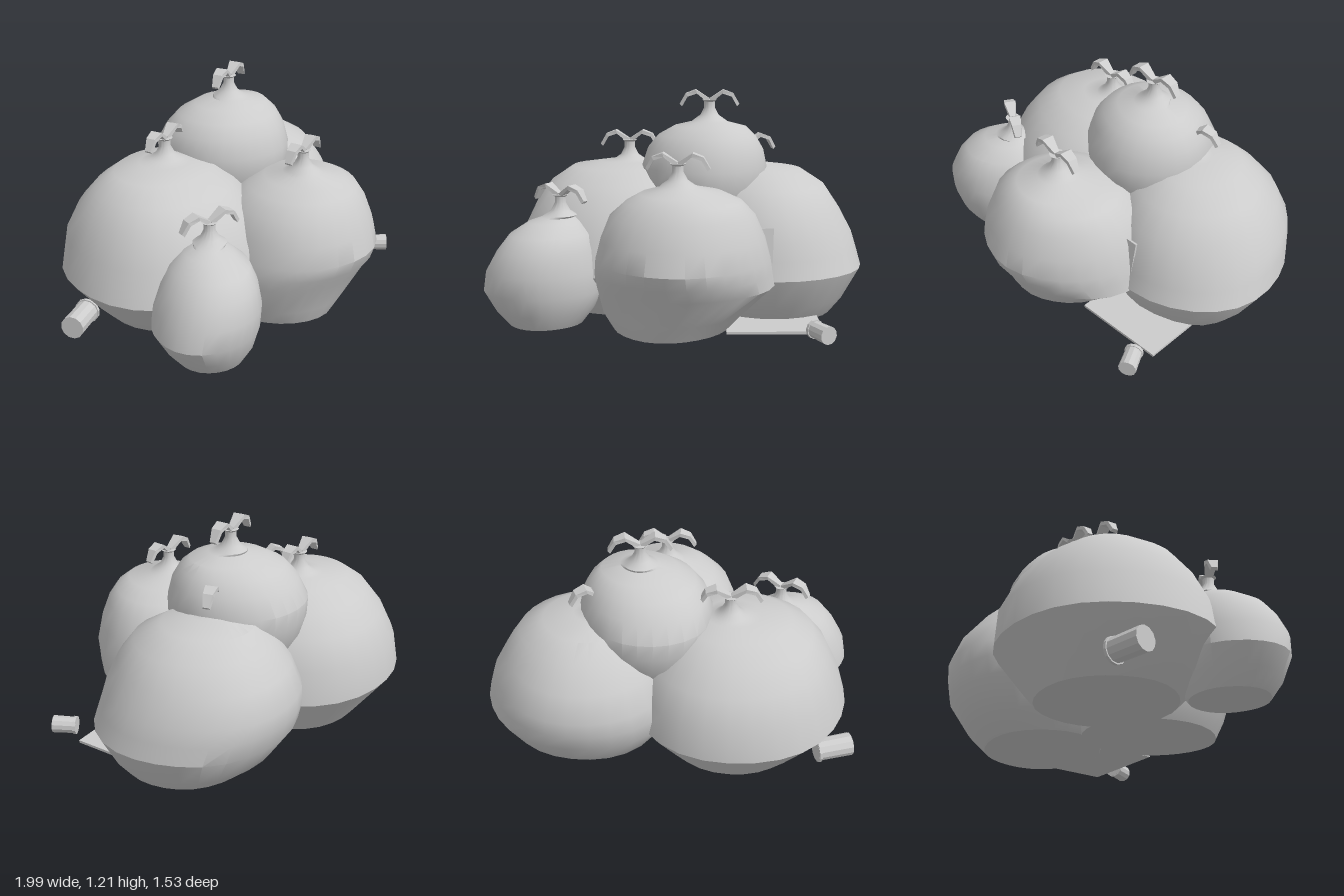
import * as THREE from 'three';
import { toCreasedNormals } from 'three/addons/utils/BufferGeometryUtils.js';

const cloth = new THREE.MeshStandardMaterial({ color: 0xcccccc });
cloth.name = 'pale grey';

function add(group, name, geometry) {
  const mesh = new THREE.Mesh(geometry, cloth);
  mesh.name = name;
  group.add(mesh);
  return mesh;
}

// Closed skin over stacked oval rings, each [y, xMin, xMax, zMin, zMax];
// skew stretches the rings along the x = z diagonal
function loft(rings, skew, sides = 28) {
  const pos = [], index = [];
  rings.forEach(([y, x0, x1, z0, z1], j) => {
    const body = j < rings.length - 5;
    for (let i = 0; i < sides; i++) {
      const a = (i / sides) * Math.PI * 2;
      const k = body ? 1 + 0.008 * Math.sin(a * 5 + j * 0.3) + skew * Math.sin(2 * a) : 1;
      pos.push((x0 + x1) / 2 + Math.cos(a) * k * (x1 - x0) / 2, y,
        (z0 + z1) / 2 + Math.sin(a) * k * (z1 - z0) / 2);
    }
  });
  for (let j = 0; j < rings.length - 1; j++) {
    for (let i = 0; i < sides; i++) {
      const a = j * sides + i, b = j * sides + (i + 1) % sides;
      index.push(a, a + sides, b, b, a + sides, b + sides);
    }
  }
  // flat caps
  for (const j of [0, rings.length - 1]) {
    const [y, x0, x1, z0, z1] = rings[j], c = pos.length / 3, s = j * sides;
    pos.push((x0 + x1) / 2, y, (z0 + z1) / 2);
    for (let i = 0; i < sides; i++) {
      const a = s + i, b = s + (i + 1) % sides;
      if (j === 0) index.push(c, a, b); else index.push(c, b, a);
    }
  }
  const g = new THREE.BufferGeometry();
  g.setAttribute('position', new THREE.Float32BufferAttribute(pos, 3));
  g.setIndex(index);
  return toCreasedNormals(g, 0.55);
}

// One bent leaf of the tie, running outward along +x
function leafGeometry() {
  const s = new THREE.Shape();
  s.moveTo(0.01, -0.005);
  [[0.07, 0.045], [0.12, 0.028], [0.15, -0.025], [0.163, -0.012], [0.13, 0.045], [0.075, 0.066], [0.0, 0.018]]
    .forEach(([x, y]) => s.lineTo(x, y));
  const g = new THREE.ExtrudeGeometry(s, { depth: 1, bevelEnabled: false });
  const p = g.attributes.position;
  // narrow at the knot and the tip, broad in the middle
  for (let i = 0; i < p.count; i++) {
    const w = 0.03 + 0.035 * Math.sin(Math.min(p.getX(i) / 0.165, 1) * Math.PI);
    p.setZ(i, (p.getZ(i) - 0.5) * w);
  }
  g.computeVertexNormals();
  return g;
}

// Sack: body rings, then a pinched neck at [x, z] and a two-leaf tie
function sack(name, body, [nx, nz], top, tieTurn, skew) {
  const group = new THREE.Group();
  group.name = name;
  const neck = [[-0.085, 0.085], [-0.06, 0.05], [-0.02, 0.029], [0.012, 0.029], [0.022, 0.04]]
    .map(([dy, r]) => [top + dy, nx - r, nx + r, nz - r, nz + r]);
  add(group, 'sackBody', loft([...body, ...neck], skew));
  for (const side of [0, Math.PI]) {
    const leaf = add(group, 'tieLeaf', leafGeometry());
    leaf.position.set(nx, top + 0.012, nz);
    leaf.rotation.y = tieTurn + side;
  }
  return group;
}

// Coin roll: tapered cylinder with a rim at its start
function roll(name, from, to, r0, r1) {
  const group = new THREE.Group();
  group.name = name;
  const a = new THREE.Vector3(...from), b = new THREE.Vector3(...to);
  const len = a.distanceTo(b);
  add(group, 'rollBody', toCreasedNormals(new THREE.CylinderGeometry(r1, r0, len, 12), 0.3));
  const rim = add(group, 'rollRim', toCreasedNormals(new THREE.CylinderGeometry(r0 * 1.12, r0 * 1.12, 0.015, 12), 0.3));
  rim.position.y = -len / 2 + 0.008;
  group.position.copy(a).add(b).multiplyScalar(0.5);
  group.quaternion.setFromUnitVectors(new THREE.Vector3(0, 1, 0), b.sub(a).normalize());
  return group;
}

export function createModel() {
  const model = new THREE.Group();
  model.name = 'sackPile';

  model.add(sack('frontSack', [
    [0.01, -0.26, 0.35, -0.14, 0.58],
    [0.1, -0.31, 0.43, -0.16, 0.625],
    [0.25, -0.34, 0.58, -0.18, 0.69],
    [0.32, -0.34, 0.57, -0.18, 0.74],
    [0.39, -0.33, 0.56, -0.17, 0.765],
    [0.5, -0.30, 0.53, -0.12, 0.74],
    [0.62, -0.25, 0.48, -0.04, 0.69],
    [0.69, -0.17, 0.42, 0.05, 0.64],
    [0.735, -0.09, 0.33, 0.14, 0.585],
    [0.76, 0.0, 0.21, 0.25, 0.47],
  ], [0.1, 0.365], 0.86, 0.1, -0.025));

  model.add(sack('smallSack', [
    [0.01, -0.81, -0.43, 0.13, 0.51],
    [0.09, -0.88, -0.37, 0.08, 0.56],
    [0.19, -0.94, -0.33, 0.04, 0.59],
    [0.3, -0.92, -0.34, 0.04, 0.60],
    [0.41, -0.86, -0.36, 0.06, 0.57],
    [0.49, -0.8, -0.39, 0.1, 0.52],
    [0.55, -0.71, -0.45, 0.16, 0.42],
    [0.57, -0.65, -0.48, 0.2, 0.36],
  ], [-0.55, 0.27], 0.665, -0.33, -0.06));

  model.add(sack('backRightSack', [
    [0.01, -0.70, 0.02, -0.55, 0.15],
    [0.1, -0.79, 0.1, -0.62, 0.24],
    [0.27, -0.93, 0.23, -0.75, 0.37],
    [0.45, -0.88, 0.2, -0.735, 0.33],
    [0.6, -0.81, 0.14, -0.66, 0.25],
    [0.71, -0.73, 0.05, -0.56, 0.15],
    [0.785, -0.62, -0.04, -0.46, 0.03],
    [0.81, -0.46, -0.17, -0.35, -0.09],
  ], [-0.3, -0.235], 0.905, 0.16, -0.015));

  model.add(sack('backLeftSack', [
    [0.01, 0.13, 0.84, -0.53, 0.1],
    [0.1, 0.05, 0.91, -0.63, 0.18],
    [0.265, -0.04, 1.0, -0.74, 0.25],
    [0.36, -0.04, 0.97, -0.76, 0.23],
    [0.45, -0.02, 0.94, -0.765, 0.21],
    [0.58, 0.03, 0.87, -0.71, 0.16],
    [0.7, 0.1, 0.79, -0.61, 0.07],
    [0.78, 0.2, 0.66, -0.52, -0.06],
    [0.805, 0.28, 0.5, -0.38, -0.18],
  ], [0.36, -0.28], 0.895, 0.45, 0.02));

  model.add(sack('topSack', [
    [0.42, -0.05, 0.33, -0.39, 0.0],
    [0.52, -0.13, 0.39, -0.47, 0.08],
    [0.62, -0.18, 0.445, -0.52, 0.13],
    [0.71, -0.205, 0.475, -0.543, 0.155],
    [0.8, -0.215, 0.48, -0.545, 0.155],
    [0.9, -0.18, 0.46, -0.49, 0.12],
    [0.97, -0.12, 0.42, -0.43, 0.075],
    [1.02, -0.03, 0.37, -0.35, 0.01],
    [1.045, 0.07, 0.27, -0.26, -0.07],
  ], [0.165, -0.18], 1.14, 0.2, 0.035));

  // Sheets of paper tucked between the sacks
  const floorSheet = add(model, 'floorSheet', new THREE.BoxGeometry(0.5, 0.014, 0.3));
  floorSheet.position.set(0.57, 0.021, 0.18);
  floorSheet.rotation.y = 0.21;
  const wedgedSheet = add(model, 'wedgedSheet', new THREE.BoxGeometry(0.22, 0.18, 0.012));
  wedgedSheet.position.set(0.46, 0.45, 0.23);
  wedgedSheet.rotation.set(-0.15, 0.2, 0);

  model.add(roll('leftRoll', [0.795, 0.065, 0.355], [0.875, 0.065, 0.455], 0.044, 0.047));
  model.add(roll('rightRoll', [-0.79, 0.072, -0.37], [-0.97, 0.075, -0.30], 0.06, 0.062));
  return model;
}
